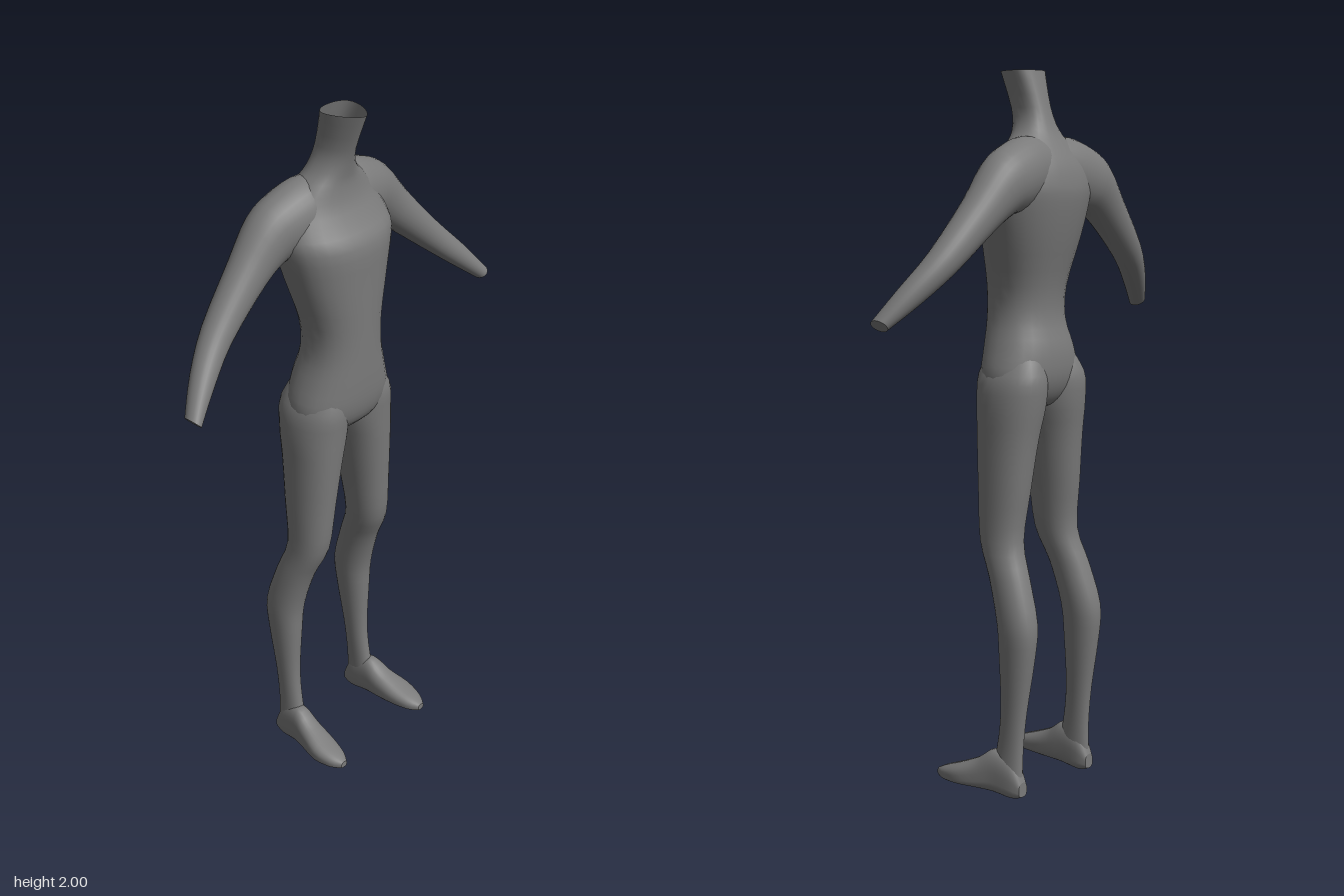
import * as THREE from 'three';

const SIDES = 28;
const material = new THREE.MeshStandardMaterial({ color: 0x7a7a7a, side: THREE.DoubleSide });

// Smoothly resample a short list of cross-section rows (Catmull-Rom per column).
function refine(rows, steps) {
  const out = [];
  const at = (i) => rows[Math.min(rows.length - 1, Math.max(0, i))];
  for (let i = 0; i < rows.length - 1; i++) {
    for (let s = 0; s < steps; s++) {
      const t = s / steps;
      out.push(at(i).map((b, k) => {
        const a = at(i - 1)[k], c = at(i + 1)[k], d = at(i + 2)[k];
        const m0 = (c - a) / 2, m1 = (d - b) / 2;
        return b + m0 * t + (3 * (c - b) - 2 * m0 - m1) * t * t + (2 * (b - c) + m0 + m1) * t * t * t;
      }));
    }
  }
  out.push(rows[rows.length - 1]);
  return out;
}

// Skin closed rings; place(row, cos, sin) returns a point [x, y, z].
function loft(rows, place, capEnd = true) {
  const pos = [], idx = [];
  const addRing = (row) => {
    const start = pos.length / 3;
    for (let j = 0; j < SIDES; j++) {
      const a = (j / SIDES) * Math.PI * 2;
      pos.push(...place(row, Math.cos(a), Math.sin(a)));
    }
    return start;
  };
  const fine = refine(rows, 3);
  fine.forEach((row, i) => {
    const b = addRing(row);
    if (i === 0) return;
    for (let j = 0; j < SIDES; j++) {
      const k = (j + 1) % SIDES, a = b - SIDES;
      idx.push(a + j, b + j, b + k, a + j, b + k, a + k);
    }
  });
  // End caps have their own ring, so their edge stays sharp
  const cap = (row, last) => {
    const start = addRing(row), c = pos.length / 3;
    const mid = [0, 0, 0];
    for (let j = 0; j < SIDES; j++) for (let k = 0; k < 3; k++) mid[k] += pos[(start + j) * 3 + k] / SIDES;
    pos.push(...mid);
    for (let j = 0; j < SIDES; j++) {
      const p = start + j, q = start + (j + 1) % SIDES;
      idx.push(...(last ? [p, c, q] : [q, c, p]));
    }
  };
  cap(fine[0], false);
  if (capEnd) cap(fine[fine.length - 1], true);

  // Turn all faces outwards
  let volume = 0;
  const P = (i) => new THREE.Vector3().fromArray(pos, i * 3);
  for (let i = 0; i < idx.length; i += 3) volume += P(idx[i]).dot(P(idx[i + 1]).cross(P(idx[i + 2])));
  if (volume < 0) idx.reverse();

  const g = new THREE.BufferGeometry();
  g.setAttribute('position', new THREE.Float32BufferAttribute(pos, 3));
  g.setIndex(idx);
  g.computeVertexNormals();
  return g;
}

const soft = (v, e) => Math.sign(v) * Math.pow(Math.abs(v), e);

// Torso and open neck: y, half width, front z, back z, front point
function torso() {
  const rows = [
    [1.08, 0.04, 0.01, -0.06, 0],
    [1.095, 0.10, 0.042, -0.09, 0],
    [1.13, 0.148, 0.072, -0.115, 0],
    [1.18, 0.16, 0.086, -0.129, 0],
    [1.25, 0.139, 0.09, -0.127, 0],
    [1.33, 0.115, 0.09, -0.108, 0],
    [1.42, 0.116, 0.09, -0.113, 0],
    [1.55, 0.153, 0.09, -0.145, 0],
    [1.65, 0.178, 0.088, -0.164, 0],
    [1.70, 0.175, 0.058, -0.163, 0],
    [1.75, 0.15, 0.03, -0.15, 0],
    [1.80, 0.108, 0.019, -0.122, 0],
    [1.84, 0.066, 0.022, -0.1, 0.1],
    [1.90, 0.043, 0.036, -0.08, 0.25],
    [2.00, 0.05, 0.075, -0.053, 0.45],
  ];
  return loft(rows, ([y, w, zf, zb, point], c, s) => [
    w * soft(c, 0.9) * (1 - point * s),
    y,
    (zf + zb) / 2 + ((zf - zb) / 2) * soft(s, 0.9),
  ], false);
}

// Shoulder and arm: centre x, y, z, radius across, radius in z, tilt
function arm() {
  const rows = [
    [0.02, 1.735, -0.066, 0.085, 0.07, -0.1],
    [0.09, 1.725, -0.069, 0.098, 0.08, 0],
    [0.15, 1.71, -0.075, 0.093, 0.077, 0.15],
    [0.205, 1.687, -0.08, 0.081, 0.069, 0.4],
    [0.28, 1.62, -0.077, 0.06, 0.056, 0.7],
    [0.41, 1.50, -0.06, 0.044, 0.045, 0.75],
    [0.50, 1.415, -0.025, 0.034, 0.037, 0.75],
    [0.572, 1.342, 0.014, 0.021, 0.027, 0.75],
  ];
  return loft(rows, ([x, y, z, r, rz, tilt], c, s) => [
    x + Math.sin(tilt) * r * c,
    y + Math.cos(tilt) * r * c,
    z + rz * s,
  ]);
}

// Leg: y, inner x, outer x, front z, back z
function leg() {
  const rows = [
    [1.27, 0.03, 0.10, 0.045, -0.085],
    [1.18, 0.012, 0.158, 0.074, -0.131],
    [1.10, 0.008, 0.172, 0.072, -0.13],
    [1.00, 0.03, 0.172, 0.066, -0.115],
    [0.86, 0.053, 0.173, 0.056, -0.1],
    [0.72, 0.072, 0.175, 0.043, -0.086],
    [0.62, 0.088, 0.186, 0.0, -0.118],
    [0.50, 0.098, 0.195, -0.034, -0.153],
    [0.40, 0.108, 0.19, -0.041, -0.148],
    [0.25, 0.122, 0.18, -0.045, -0.125],
    [0.14, 0.128, 0.178, -0.032, -0.115],
    [0.05, 0.13, 0.182, -0.01, -0.115],
  ];
  return loft(rows, ([y, xi, xo, zf, zb], c, s) => [
    (xi + xo) / 2 + ((xo - xi) / 2) * soft(c, 0.92),
    y,
    (zf + zb) / 2 + ((zf - zb) / 2) * soft(s, 0.92),
  ]);
}

// Foot: z, centre x, half width, sole y, top y
function foot() {
  const rows = [
    [-0.12, 0.155, 0.018, 0.008, 0.05],
    [-0.09, 0.156, 0.028, 0.0, 0.11],
    [-0.03, 0.16, 0.033, 0.008, 0.133],
    [0.02, 0.166, 0.039, 0.011, 0.102],
    [0.08, 0.175, 0.044, 0.014, 0.076],
    [0.135, 0.177, 0.032, 0.017, 0.056],
    [0.165, 0.177, 0.012, 0.022, 0.042],
  ];
  return loft(rows, ([z, x, w, y0, y1], c, s) => [
    x + w * soft(c, 0.8),
    (y0 + y1) / 2 + ((y1 - y0) / 2) * soft(s, s < 0 ? 0.5 : 0.9),
    z,
  ]);
}

// Mirror a geometry across x and restore its winding
function mirrored(geometry) {
  const g = geometry.clone();
  g.scale(-1, 1, 1);
  g.setIndex(Array.from(g.index.array).reverse());
  g.computeVertexNormals();
  return g;
}

export function createModel() {
  const model = new THREE.Group();
  model.name = 'body';
  const add = (name, geometry) => {
    const mesh = new THREE.Mesh(geometry, material);
    mesh.name = name;
    model.add(mesh);
  };
  add('torso', torso());
  for (const [name, build] of [['Arm', arm], ['Leg', leg], ['Foot', foot]]) {
    const geometry = build();
    add('left' + name, geometry);
    add('right' + name, mirrored(geometry));
  }
  return model;
}
